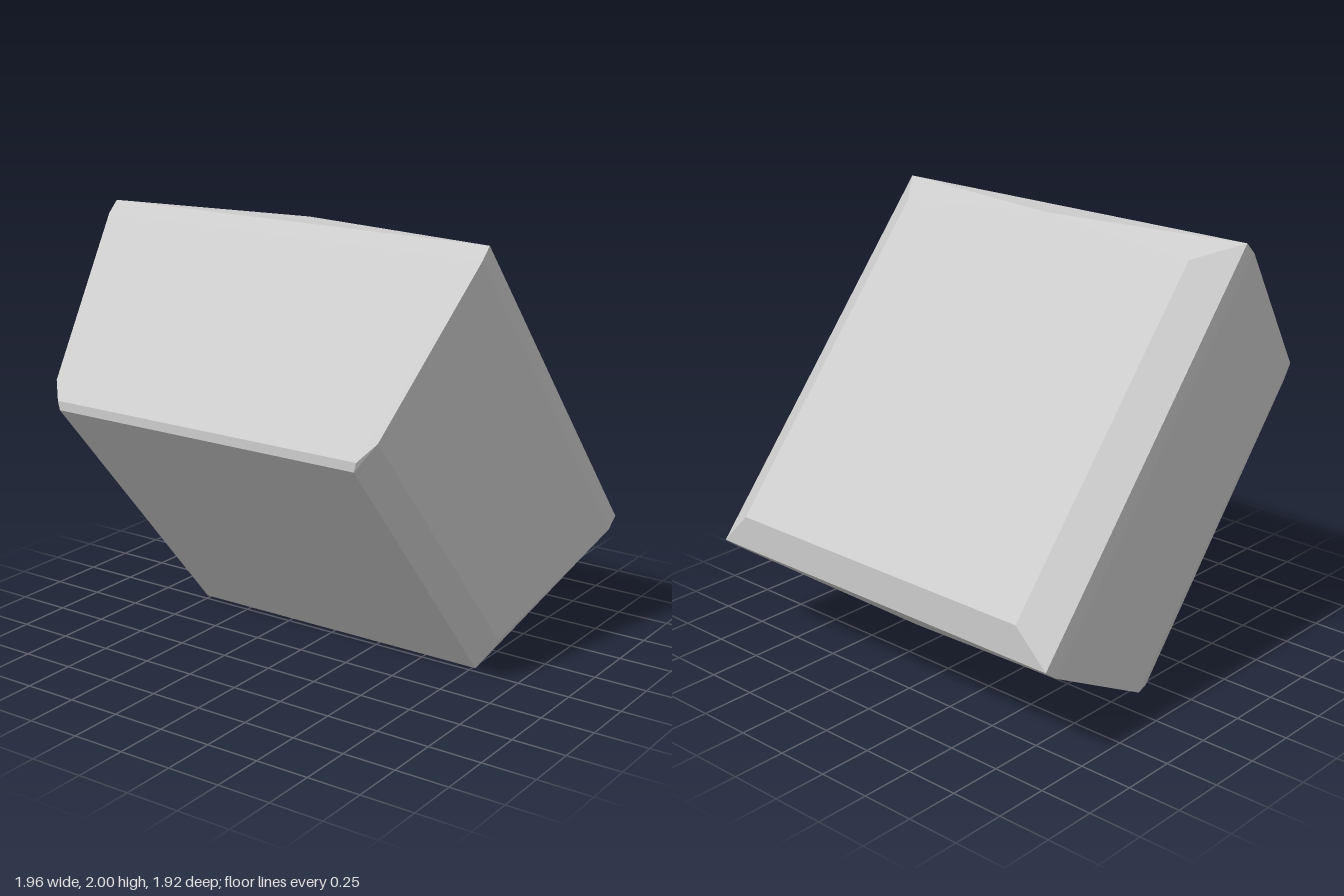
import * as THREE from 'three';
import { ConvexGeometry } from 'three/addons/geometries/ConvexGeometry.js';

export function createModel() {
  const group = new THREE.Group();
  group.name = 'chamferedBlock';
  const stone = new THREE.MeshStandardMaterial({ color: 0xcccccc });
  stone.name = 'light grey';

  // Tilted frame: u runs down the length of the block, v through its depth
  const points = [];
  const add = (x, u, v) => points.push(
    new THREE.Vector3(x, 2 - 0.764 * u - 0.645 * v, 0.31 - 0.645 * u + 0.764 * v));
  const pair = (x, u, v) => { add(x, u, v); add(-x, u, v); };

  // Back plate, with a raised middle on its upper edge
  pair(0.82, 0.17, -0.105);
  pair(0.82, 1.84, -0.105);
  add(0, 0.09, -0.107);

  // Wide rim around the back
  for (const [u, v] of [[0, 0], [0.005, 0.075], [1.96, 0], [1.957, 0.08]]) pair(0.978, u, v);

  // Upper end of the tapered body and its front chamfer
  pair(0.84, 0.154, 0.9);
  pair(0.78, 0.169, 0.993);
  pair(0.77, 0.2, 1.02);

  // Lower end: a shallow central ridge and unequal corners
  add(0, 1.951, 0.339);
  add(0, 1.838, 0.923);
  add(0.84, 1.693, 0.893);
  add(0.765, 1.747, 1.03);
  add(-0.84, 1.803, 0.893);
  add(-0.785, 1.787, 0.979);
  add(-0.77, 1.747, 1.03);

  const block = new THREE.Mesh(new ConvexGeometry(points), stone);
  block.name = 'block';
  group.add(block);
  return group;
}
